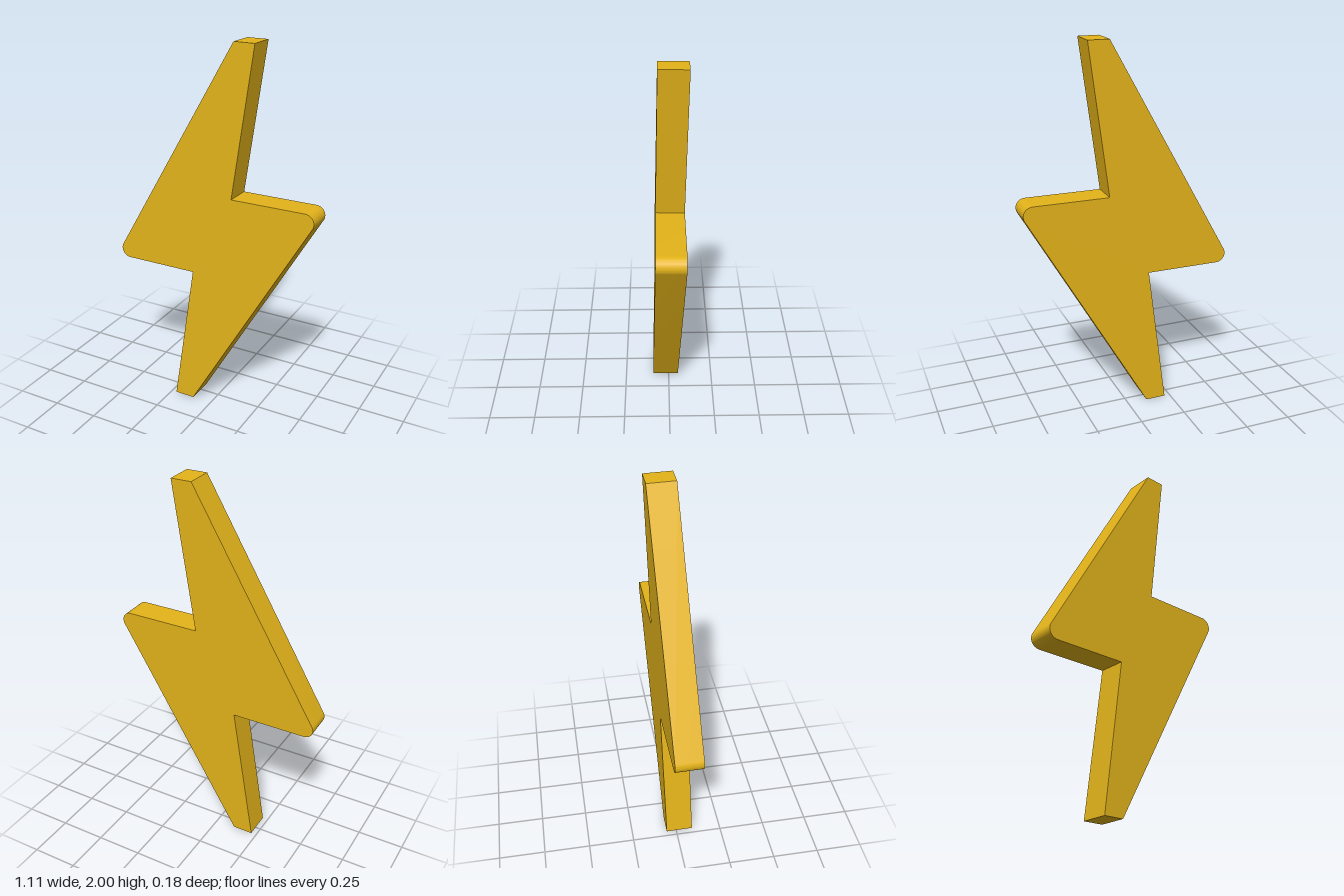
import * as THREE from 'three';
import { toCreasedNormals } from 'three/addons/utils/BufferGeometryUtils.js';

const DEPTH = 0.146;
const HALF_HEIGHT = 0.9988;
const TILT = -0.0185;

// Zigzag outline, point-symmetric about its centre: each half is drawn with opposite sign.
function boltShape() {
  const shape = new THREE.Shape();
  for (const s of [1, -1]) {
    const start = s > 0 ? 'moveTo' : 'lineTo';
    shape[start](0.22 * s, HALF_HEIGHT * s);
    shape.lineTo(0.11 * s, HALF_HEIGHT * s);
    // rounded outer point
    const a = THREE.MathUtils.degToRad(s > 0 ? 150 : -30);
    shape.absarc(-0.507 * s, -0.174 * s, 0.048, a, a + Math.PI * 2 / 3, false);
    // inner notch
    shape.lineTo(-0.11 * s, -0.222 * s);
  }
  shape.closePath();
  return shape;
}

export function createModel() {
  const group = new THREE.Group();
  group.name = 'lightningBolt';

  const geometry = new THREE.ExtrudeGeometry(boltShape(), {
    depth: DEPTH, bevelEnabled: false, curveSegments: 12,
  });
  geometry.translate(0, 0, -DEPTH / 2);

  // bolt slab, leaning slightly back
  const bolt = new THREE.Mesh(
    toCreasedNormals(geometry, THREE.MathUtils.degToRad(35)),
    new THREE.MeshStandardMaterial({ color: 0xe3b31a }),
  );
  bolt.name = 'bolt';
  bolt.rotation.x = TILT;
  bolt.position.y = 1;
  group.add(bolt);
  return group;
}
